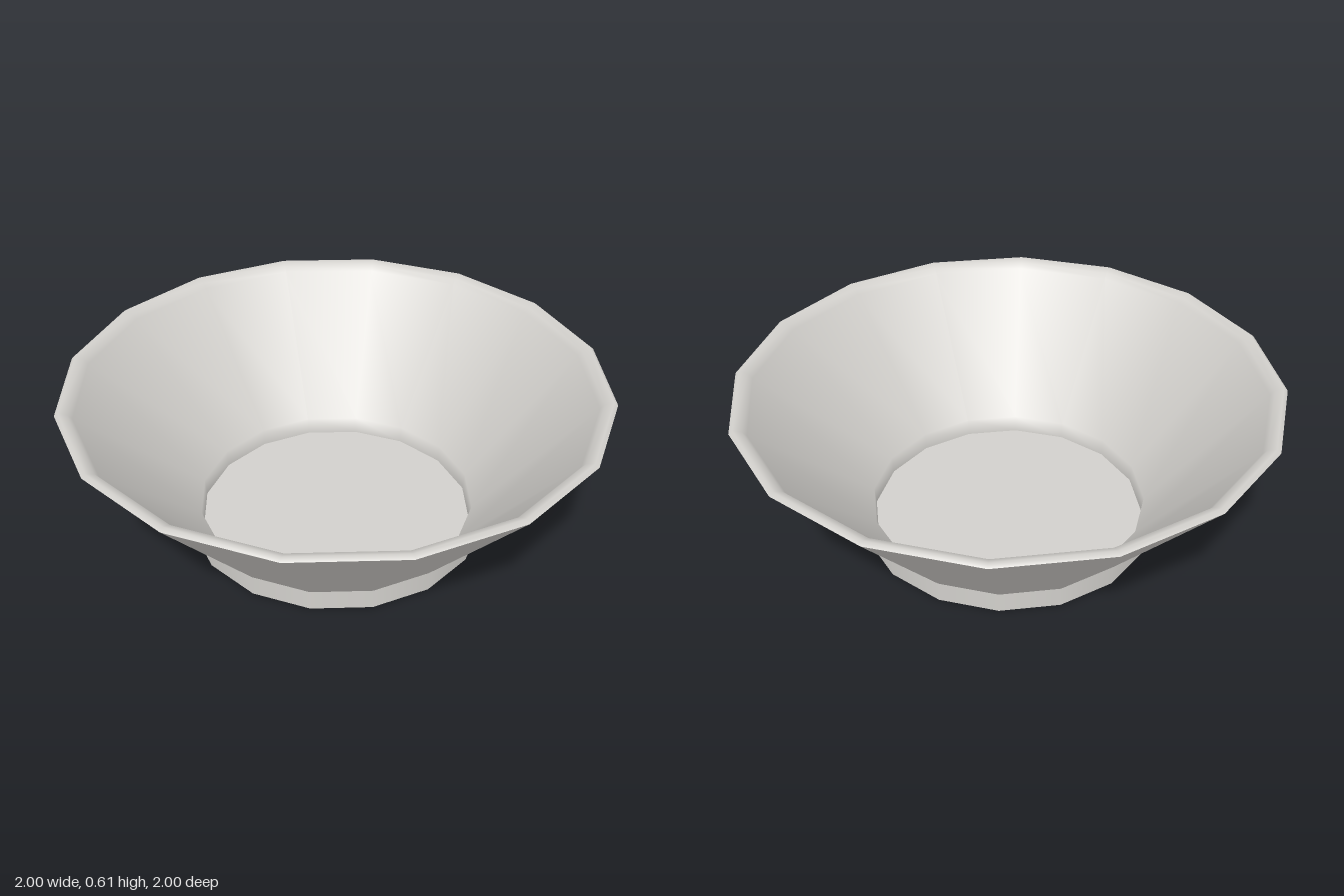
import * as THREE from 'three';

const SIDES = 16;

export function createModel() {
  const group = new THREE.Group();
  group.name = 'bowl';
  const ceramic = new THREE.MeshStandardMaterial({ color: 0xd2d0cc });
  ceramic.name = 'pale grey ceramic';

  // Each section is smooth within itself and meets its neighbours at a sharp edge.
  // The [radius, height] points follow the contour from the underside outward and over the rim.
  const sections = {
    underside: [[0, 0.01], [0.52, 0.01]],
    footInnerWall: [[0.52, 0.01], [0.52, 0]],
    footBottom: [[0.52, 0], [0.565, 0]],
    footOuterWall: [[0.565, 0], [0.565, 0.078]],
    outerWall: [[0.565, 0.078], [1, 0.594]],
    rimAndInnerWall: [[1, 0.594], [0.985, 0.605], [0.955, 0.592], [0.94, 0.573], [0.525, 0.08], [0.52, 0.014]],
    floor: [[0.52, 0.014], [0, 0.014]],
  };

  for (const [name, profile] of Object.entries(sections)) {
    const points = profile.map(([r, y]) => new THREE.Vector2(r, y));
    const mesh = new THREE.Mesh(new THREE.LatheGeometry(points, SIDES), ceramic);
    mesh.name = name;
    group.add(mesh);
  }
  return group;
}
